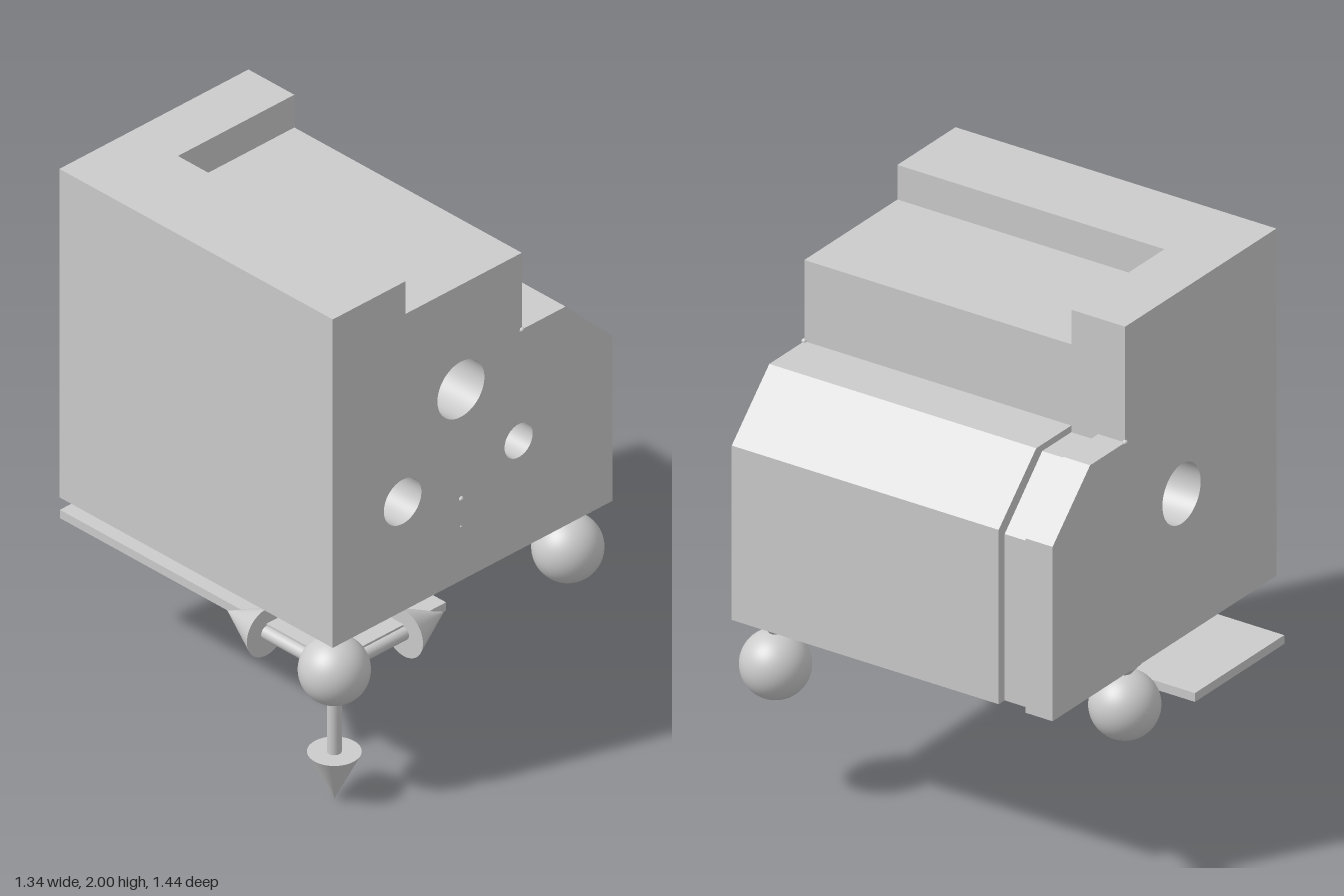
import * as THREE from 'three';

const grey = new THREE.MeshStandardMaterial({ color: 0xcccccc });
const greyDouble = new THREE.MeshStandardMaterial({ color: 0xcccccc, side: THREE.DoubleSide });

const BACK = -0.61, GROOVE_BACK = -0.5, GROOVE_FRONT = -0.39, FRONT = 0.7;
const BALL_Y = 0.515, BALL_R = 0.123, BODY_BOTTOM = 0.695;

function add(parent, name, geometry, position = [0, 0, 0], material = grey) {
  const mesh = new THREE.Mesh(geometry, material);
  mesh.name = name;
  mesh.position.set(...position);
  parent.add(mesh);
  return mesh;
}

function outline(points, holes = []) {
  const shape = new THREE.Shape(points.map(([x, y]) => new THREE.Vector2(x, y)));
  for (const [x, y, r] of holes) {
    shape.holes.push(new THREE.Path().absarc(x, y, r, 0, Math.PI * 2, true));
  }
  return shape;
}

// Only the side walls of an extruded outline, without end caps
function wallGeometry(points, depth) {
  const solid = new THREE.ExtrudeGeometry(outline(points), { depth, bevelEnabled: false });
  const { start, count } = solid.groups[1];
  const walls = new THREE.BufferGeometry();
  const corners = solid.attributes.position.array.slice(start * 3, (start + count) * 3);
  walls.setAttribute('position', new THREE.BufferAttribute(corners, 3));
  walls.computeVertexNormals();
  return walls;
}

// Blind round hole sunk into the face at z, going along dir (+1 or -1)
function addHole(parent, name, [x, y, r], z, dir, depth) {
  const wall = new THREE.CylinderGeometry(r, r, depth, 48, 1, true).rotateX(Math.PI / 2);
  add(parent, name + 'Wall', wall, [x, y, z + dir * depth / 2], greyDouble);
  add(parent, name + 'Floor', new THREE.CircleGeometry(r, 48), [x, y, z + dir * depth], greyDouble);
}

function createBody() {
  const body = new THREE.Group();
  body.name = 'body';
  const base = [[-0.655, BODY_BOTTOM], [0.655, BODY_BOTTOM], [0.655, 1.35], [0.435, 1.565], [0.23, 1.565]];
  const full = [...base, [0.23, 2], [-0.655, 2]];
  const pocketed = [...base, [0.23, 1.87], [-0.315, 1.87], [-0.315, 2], [-0.655, 2]];
  const grooveEdge = [[0.62, BODY_BOTTOM], [0.62, 1.32], [0.4, 1.54], [0.23, 1.54]];
  const grooved = [[-0.655, BODY_BOTTOM], ...grooveEdge, [0.23, 2], [-0.655, 2]];

  // Walls of the three slabs, back to front
  const slabs = [
    ['backSlab', full, BACK, GROOVE_BACK],
    ['grooveSlab', grooved, GROOVE_BACK, GROOVE_FRONT],
    ['frontSlab', pocketed, GROOVE_FRONT, FRONT],
  ];
  for (const [name, points, z0, z1] of slabs) {
    add(body, name, wallGeometry(points, z1 - z0), [0, 0, z0], greyDouble);
  }

  // Steps on both sides of the groove
  const step = [...[...base].reverse().slice(0, 4), ...grooveEdge];
  for (const z of [GROOVE_BACK, GROOVE_FRONT]) {
    add(body, 'grooveStep', new THREE.ShapeGeometry(outline(step)), [0, 0, z], greyDouble);
  }

  // Back end of the top pocket
  add(body, 'pocketEnd', new THREE.PlaneGeometry(0.545, 0.13), [-0.0425, 1.935, GROOVE_FRONT], greyDouble);

  // Front and back faces with their holes
  const frontHoles = [[-0.055, 1.455, 0.11], [-0.328, 1.13, 0.088], [0.215, 1.13, 0.066]];
  const backHole = [-0.1, 1.235, 0.112];
  add(body, 'frontFace', new THREE.ShapeGeometry(outline(pocketed, frontHoles), 24), [0, 0, FRONT], greyDouble);
  add(body, 'backFace', new THREE.ShapeGeometry(outline(full, [backHole]), 24), [0, 0, BACK], greyDouble);
  for (const hole of frontHoles) addHole(body, 'frontHole', hole, FRONT, -1, 0.45);
  addHole(body, 'backHole', backHole, BACK, 1, 0.45);

  // Tiny marker beads
  const beads = [[-0.055, 1.02, FRONT, 0.01], [-0.055, 0.91, FRONT, 0.004],
    [0.23, 1.565, FRONT, 0.01], [0.23, 1.565, BACK, 0.01]];
  for (const [x, y, z, r] of beads) {
    add(body, 'markerBead', new THREE.SphereGeometry(r, 16, 12), [x, y, z]);
  }
  return body;
}

// Ball foot with a stepped neck below the body
function createFoot(x, z) {
  const foot = new THREE.Group();
  foot.name = 'ballFoot';
  foot.position.set(x, BALL_Y, z);
  add(foot, 'ball', new THREE.SphereGeometry(BALL_R, 48, 32));
  const neck = [
    [[0.022, 0.118], [0.045, 0.145]],
    [[0.045, 0.145], [0.045, 0.154]],
    [[0.045, 0.154], [0.058, 0.16]],
    [[0.058, 0.16], [0.058, BODY_BOTTOM - BALL_Y]],
  ];
  for (const part of neck) {
    const profile = part.map(([r, y]) => new THREE.Vector2(r, y));
    add(foot, 'neck', new THREE.LatheGeometry(profile, 32), [0, 0, 0], greyDouble);
  }
  return foot;
}

// Arrow from the ball centre along a direction
function createArrow(name, direction, origin) {
  const arrow = new THREE.Group();
  arrow.name = name;
  const shaft = 0.325, head = 0.188;
  add(arrow, 'arrowShaft', new THREE.CylinderGeometry(0.025, 0.025, shaft, 32), [0, shaft / 2, 0]);
  add(arrow, 'arrowHead', new THREE.ConeGeometry(0.092, head, 48), [0, shaft + head / 2, 0]);
  arrow.quaternion.setFromUnitVectors(new THREE.Vector3(0, 1, 0), new THREE.Vector3(...direction));
  arrow.position.set(...origin);
  return arrow;
}

export function createModel() {
  const model = new THREE.Group();
  model.name = 'machinedBlockOnBallFeet';
  model.add(createBody());

  for (const [x, z] of [[-0.548, 0.598], [0.545, 0.598], [0.122, -0.533]]) {
    model.add(createFoot(x, z));
  }

  const origin = [-0.548, BALL_Y, 0.598];
  model.add(createArrow('downArrow', [0, -1, 0], origin));
  model.add(createArrow('sideArrow', [1, 0, 0], origin));
  model.add(createArrow('backArrow', [0, 0, -1], origin));

  // Thin plate under the body
  add(model, 'plate', new THREE.BoxGeometry(0.523, 0.033, 1.315), [-0.2865, 0.532, -0.0595]);
  return model;
}
